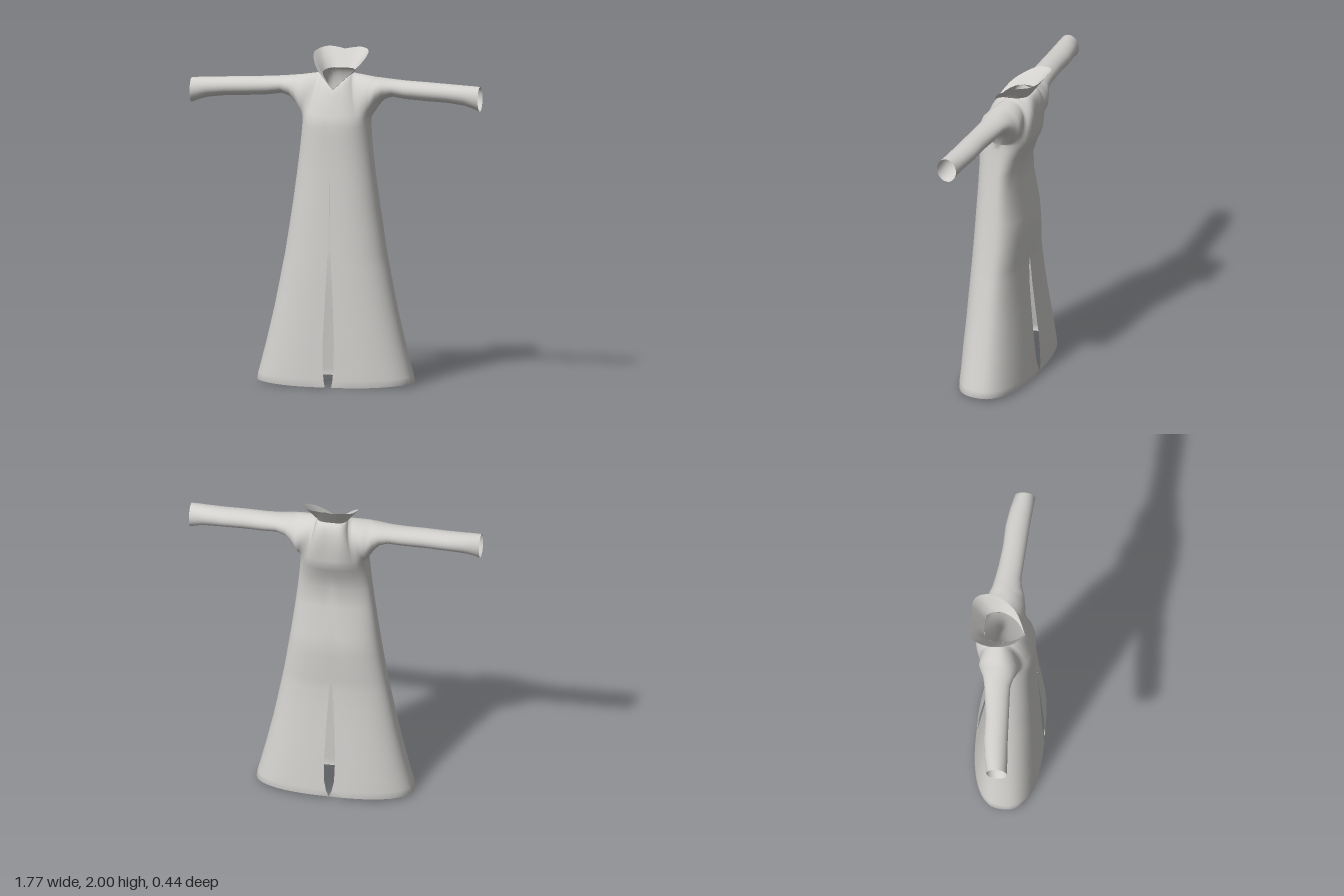
import * as THREE from 'three';
import { mergeVertices, mergeGeometries } from 'three/addons/utils/BufferGeometryUtils.js';

const N = 12; // columns from centre line to side seam
const M = 6; // columns that end on the neckline
const J = 12; // rows from armpit height to shoulder

const V = (x, y, z) => new THREE.Vector3(x, y, z);
const spline = pts => new THREE.CatmullRomCurve3(pts.map(p => V(...p)));

// Skirt and waist: y, half width, front z, back z, front slit, back slit
const rings = [
  [0.02, 0.48, 0.22, -0.19, 0.02, 0],
  [0.06, 0.472, 0.22, -0.186, 0.027, 0.018],
  [0.12, 0.455, 0.216, -0.18, 0.033, 0.03],
  [0.25, 0.422, 0.212, -0.168, 0.035, 0.034],
  [0.45, 0.375, 0.203, -0.147, 0.027, 0.026],
  [0.6, 0.345, 0.198, -0.133, 0.02, 0.018],
  [0.72, 0.322, 0.193, -0.126, 0.013, 0.011],
  [0.78, 0.31, 0.19, -0.126, 0.011, 0],
  [0.95, 0.283, 0.183, -0.135, 0.006, 0],
  [1.08, 0.263, 0.178, -0.13, 0.003, 0],
  [1.27, 0.237, 0.17, -0.094, 0, 0],
  [1.4, 0.221, 0.166, -0.094, 0, 0],
  [1.5, 0.21, 0.166, -0.13, 0, 0],
  [1.56, 0.205, 0.165, -0.157, 0, 0],
  [1.6, 0.203, 0.16, -0.175, 0, 0],
];

// Sleeve sections: x, bottom y, top y, front z, back z
const sleeve = [
  [0.25, 1.675, 1.846, 0.075, -0.138],
  [0.285, 1.715, 1.842, 0.06, -0.122],
  [0.34, 1.733, 1.837, 0.047, -0.11],
  [0.42, 1.722, 1.832, 0.05, -0.097],
  [0.55, 1.715, 1.828, 0.057, -0.083],
  [0.68, 1.71, 1.822, 0.064, -0.08],
  [0.79, 1.698, 1.818, 0.072, -0.065],
  [0.84, 1.684, 1.817, 0.076, -0.054],
  [0.885, 1.666, 1.815, 0.08, -0.045],
];

// Neckline and collar rim, from front centre round the left side to back centre
const neck = spline([[0, 1.775, 0.1], [0.05, 1.825, 0.06], [0.08, 1.855, 0.01], [0.095, 1.867, -0.04],
  [0.088, 1.875, -0.1], [0.06, 1.88, -0.135], [0, 1.88, -0.14]]);
const rim = spline([[0, 1.778, 0.1], [0.06, 1.835, 0.07], [0.11, 1.885, 0.03], [0.15, 1.935, -0.04],
  [0.165, 1.973, -0.11], [0.143, 1.99, -0.19], [0.1, 1.998, -0.22], [0.05, 1.994, -0.22], [0, 1.985, -0.215]]);

// Half ring of the body, front centre to back centre
function halfRing([y, w, zf, zb, gf, gb], inset = 1) {
  const zc = 0.015 - 0.016 * y;
  return Array.from({ length: 2 * N + 1 }, (_, c) => {
    const a = (c / (2 * N)) * Math.PI, s = Math.sin(a), k = Math.cos(a);
    const gap = k > 0 ? gf * k : -gb * k;
    const x = gap + (w * inset - gap) * Math.pow(Math.max(s, 0), 0.8);
    const z = zc + (k > 0 ? zf - zc : zc - zb) * inset * Math.sign(k) * Math.pow(Math.abs(k), 0.8);
    const drop = 0.02 * Math.max(0, k) ** 2 * Math.max(0, 1 - (y - 0.02) / 0.2);
    return V(x, y - drop, z);
  });
}

// Curve from armpit height up to the shoulder; round = 1 gives a half ellipse
function riser(bottom, top, bulge, round) {
  return Array.from({ length: J + 1 }, (_, j) => {
    const t = j / J;
    const s = THREE.MathUtils.lerp(Math.sin(t * Math.PI / 2), (1 - Math.cos(t * Math.PI)) / 2, round);
    const p = bottom.clone().lerp(top, s);
    p.z += bulge * Math.sin(t * Math.PI);
    return p;
  });
}

// Front (side = 1) or back (side = -1) of one shoulder and sleeve
function upperPanel(topRing, side) {
  const columns = [];
  for (let i = 0; i <= N; i++) {
    const f = i / N;
    const top = i <= M
      ? neck.getPoint(side > 0 ? i / M / 2 : 1 - i / M / 2)
      : V(0.095, 1.867, -0.04).lerp(V(0.23, 1.849, -0.02), (i - M) / (N - M));
    const bulge = side > 0 ? 0.006 + 0.09 * f ** 1.3 : -(0.028 + 0.105 * f ** 1.3);
    columns.push(riser(topRing[side > 0 ? i : 2 * N - i], top, bulge, f ** 4));
  }
  for (const [x, yb, yt, zf, zb] of sleeve) {
    const zc = (zf + zb) / 2;
    columns.push(riser(V(x, yb, zc), V(x, yt, zc), side * (zf - zb) / 2, 1));
  }
  return columns[0].map((_, j) => columns.map(c => c[j]));
}

// Grid of points to triangles; flip reverses facing, mirror puts it on the right
function sheet(grid, flip, mirror) {
  const cols = grid[0].length, pos = [], index = [];
  for (const p of grid.flat()) pos.push((Math.abs(p.x) < 1e-5 ? 0 : p.x) * (mirror ? -1 : 1), p.y, p.z);
  for (let r = 0; r < grid.length - 1; r++) {
    for (let c = 0; c < cols - 1; c++) {
      const a = r * cols + c, b = a + 1, d = a + cols, e = d + 1;
      if (flip !== mirror) index.push(a, e, b, a, d, e);
      else index.push(a, b, e, a, e, d);
    }
  }
  const g = new THREE.BufferGeometry();
  g.setAttribute('position', new THREE.Float32BufferAttribute(pos, 3));
  g.setIndex(index);
  return g;
}

// Both halves of every sheet, welded and smoothed
function weld(sheets) {
  const parts = sheets.flatMap(([grid, flip]) => [sheet(grid, flip, false), sheet(grid, flip, true)]);
  const g = mergeVertices(mergeGeometries(parts), 1e-4);
  g.computeVertexNormals();
  return g;
}

export function createModel() {
  const cloth = new THREE.MeshStandardMaterial({ color: 0xd2d1ce, side: THREE.DoubleSide });
  cloth.name = 'light grey cloth';
  const group = new THREE.Group();
  group.name = 'robe';
  const add = (name, geometry) => {
    const mesh = new THREE.Mesh(geometry, cloth);
    mesh.name = name;
    group.add(mesh);
  };

  // Robe body with sleeves, with a small lip turned in at the hem
  const body = [halfRing(rings[0], 0.97), ...rings.map(r => halfRing(r))];
  const topRing = body[body.length - 1];
  add('robeBody', weld([
    [body, false],
    [upperPanel(topRing, 1), false],
    [upperPanel(topRing, -1), true],
  ]));

  // Flared standing collar
  const rows = 5, cols = 32;
  const collar = Array.from({ length: rows + 1 }, (_, r) => Array.from({ length: cols + 1 }, (_, c) =>
    neck.getPoint(c / cols).lerp(rim.getPoint(c / cols), r / rows)));
  add('collar', weld([[collar, false]]));

  return group;
}
